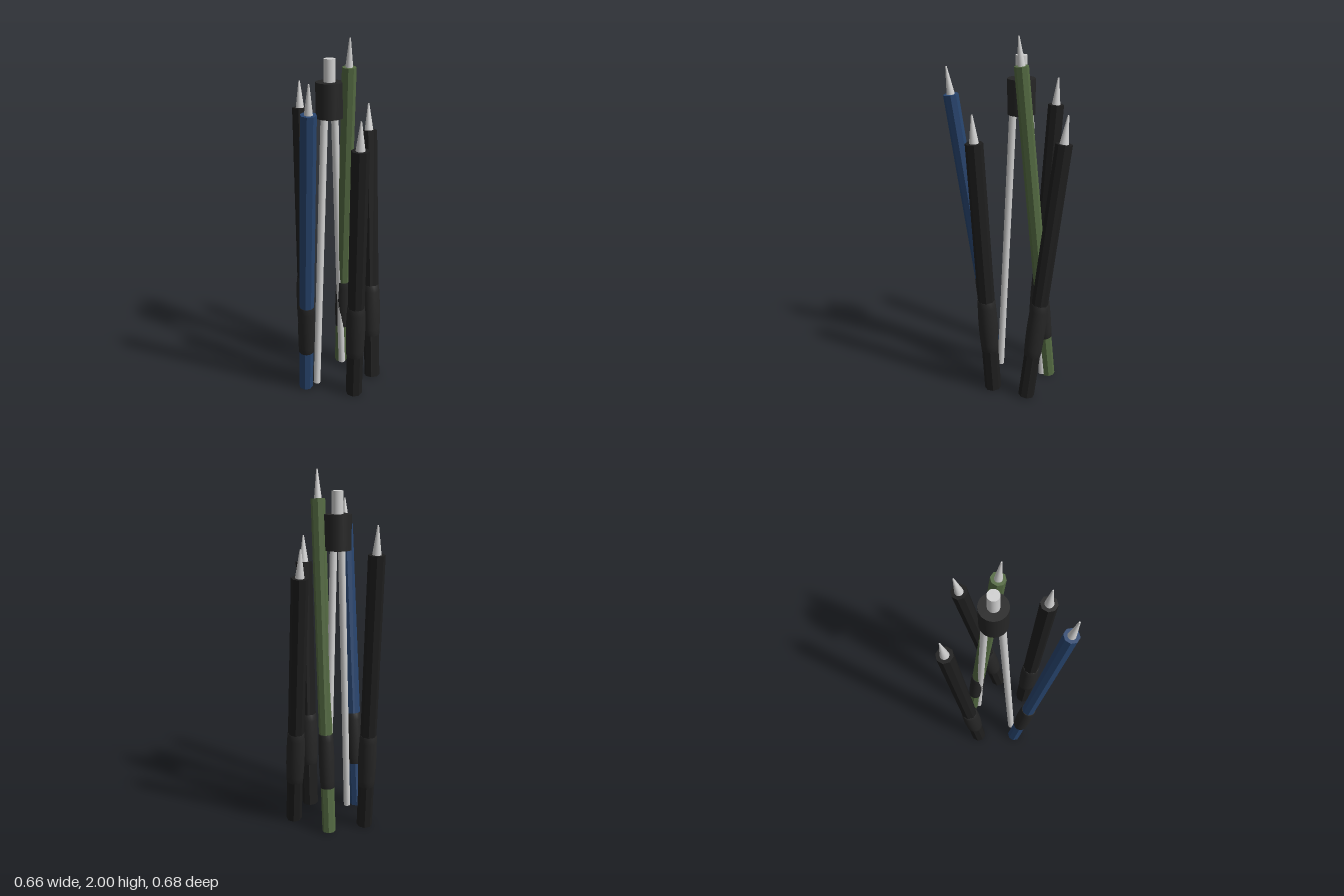
import * as THREE from 'three';

const mat = (name, color) => {
  const m = new THREE.MeshStandardMaterial({ color });
  m.name = name;
  return m;
};
const UP = new THREE.Vector3(0, 1, 0);

export function createModel() {
  const model = new THREE.Group();
  const black = mat('black lacquer', 0x1e1e1e);
  const blue = mat('blue lacquer', 0x28456f);
  const green = mat('green lacquer', 0x546a42);
  const rubber = mat('rubber', 0x262626);
  const silver = mat('silver', 0xd2d2d2);
  for (const m of [black, blue, green]) m.flatShading = true;

  const add = (parent, name, geometry, material, y = 0) => {
    const mesh = new THREE.Mesh(geometry, material);
    mesh.name = name;
    mesh.position.y = y;
    parent.add(mesh);
    return mesh;
  };

  // Group whose local y axis runs from one point to another
  const axisGroup = (name, from, to) => {
    const a = new THREE.Vector3(...from), b = new THREE.Vector3(...to);
    const group = new THREE.Group();
    group.name = name;
    group.position.copy(a);
    group.quaternion.setFromUnitVectors(UP, b.clone().sub(a).normalize());
    model.add(group);
    return { group, length: a.distanceTo(b) };
  };

  // Eight-sided barrel, bulging soft grip and tapered metal tip
  const pencil = (name, from, to, r, material) => {
    const { group, length } = axisGroup(name, from, to);
    add(group, 'barrel', new THREE.CylinderGeometry(r, r, length, 8), material, length / 2);
    const low = 0.265, high = 0.58;
    const grip = [[r * 0.9, low]];
    for (let i = 0; i <= 8; i++) {
      const t = i / 8;
      grip.push([r * (1.05 + 0.11 * Math.sin(Math.PI * t)), low + (high - low) * t]);
    }
    grip.push([r * 0.9, high]);
    add(group, 'grip', new THREE.LatheGeometry(grip.map(p => new THREE.Vector2(...p)), 20), rubber);
    add(group, 'tip', new THREE.CylinderGeometry(0.004, r * 0.53, 0.148, 16), silver, length + 0.074);
  };

  pencil('bluePencil', [-0.19, 0.006, 0.005], [-0.291, 1.688, 0.21], 0.041, blue);
  pencil('greenPencil', [0.15, 0.006, -0.1], [0.071, 1.856, 0.057], 0.038, green);
  pencil('leftPencil', [0.197, 0.007, 0.15], [0.284, 1.478, -0.032], 0.0455, black);
  pencil('frontPencil', [0, 0.004, 0.222], [-0.037, 1.488, 0.292], 0.047, black);
  pencil('backPencil', [-0.049, 0.005, -0.19], [0.004, 1.594, -0.3], 0.0445, black);

  // Drawing compass: collar, top knob and two spread legs
  const { group: head } = axisGroup('compassHead', [0.002, 0, -0.019], [0.002, 1, -0.019]);
  add(head, 'collar', new THREE.CylinderGeometry(0.074, 0.074, 0.187, 32), rubber, 1.684);
  add(head, 'knob', new THREE.CylinderGeometry(0.031, 0.031, 0.2, 24), silver, 1.796);
  for (const s of [-1, 1]) {
    const { group, length } = axisGroup(s < 0 ? 'rightLeg' : 'leftLeg',
      [0.002 + s * 0.128, 0.014, -0.019 - s * 0.046],
      [0.002 + s * 0.045, 1.62, -0.019 - s * 0.016]);
    add(group, 'rod', new THREE.CylinderGeometry(0.02, 0.02, length, 12), silver, length / 2);
  }
  return model;
}
